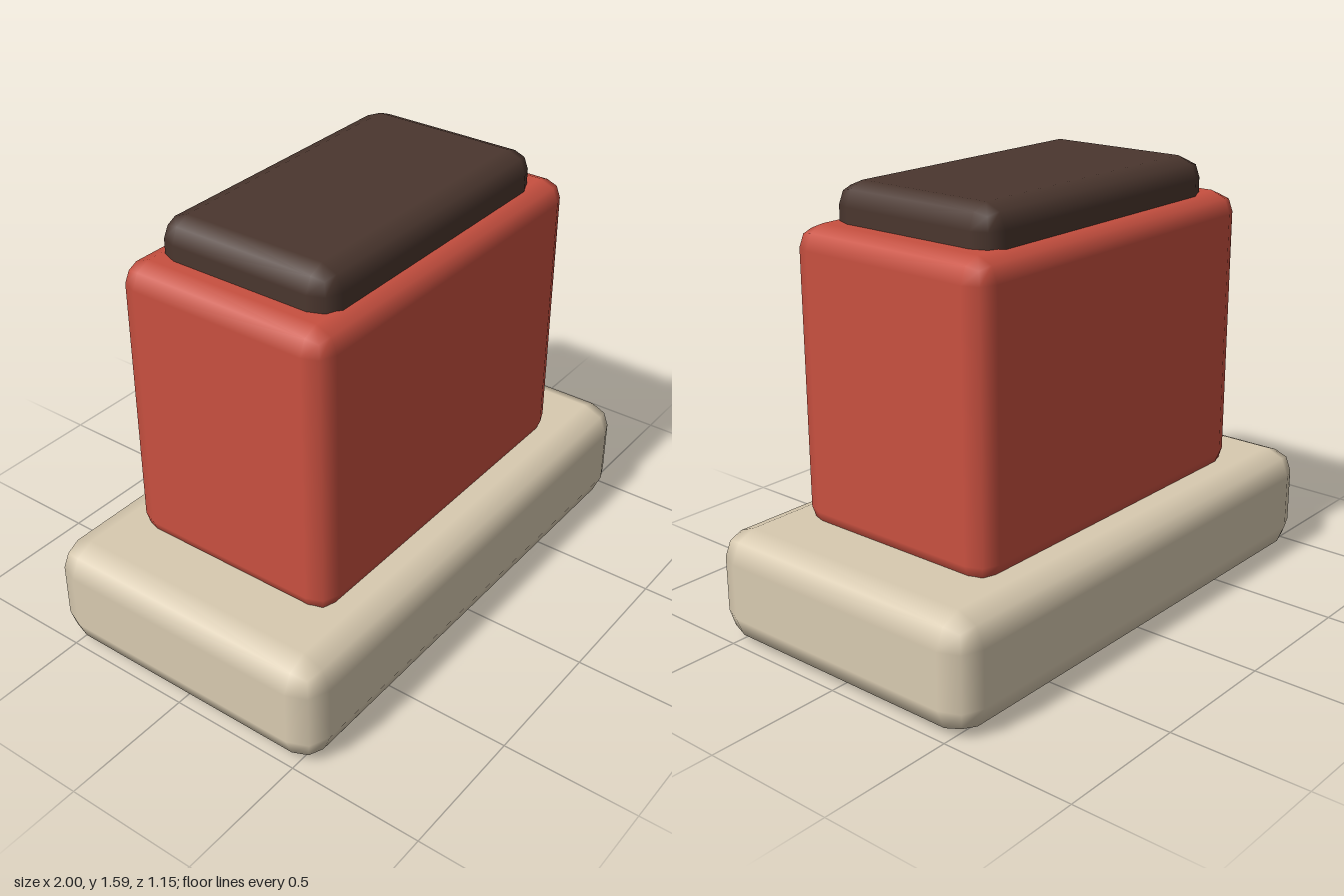
import * as THREE from 'three';

// Box with a two-step rounded bevel: each face grid has 3 cells per side,
// the outer lines lie on the 45 degree bevel, the inner lines bound the flat.
function bevelBox(w, h, d, r) {
  const g = new THREE.BoxGeometry(1, 1, 1, 3, 3, 3);
  const pos = g.attributes.position;
  const nor = g.attributes.normal;
  const half = new THREE.Vector3(w / 2 - r, h / 2 - r, d / 2 - r);
  const step = (v) => (Math.abs(v) > 0.4 ? Math.sign(v) : 0);
  const p = new THREE.Vector3();
  for (let i = 0; i < pos.count; i++) {
    p.fromBufferAttribute(pos, i);
    const n = new THREE.Vector3(step(p.x), step(p.y), step(p.z)).normalize();
    pos.setXYZ(
      i,
      Math.sign(p.x) * half.x + n.x * r,
      Math.sign(p.y) * half.y + n.y * r,
      Math.sign(p.z) * half.z + n.z * r
    );
    nor.setXYZ(i, n.x, n.y, n.z);
  }
  return g;
}

function flatColor(name, color) {
  const m = new THREE.MeshStandardMaterial({ color });
  m.name = name;
  return m;
}

export function createModel() {
  const group = new THREE.Group();
  group.name = 'blockOnPlinth';

  const addBlock = (name, w, d, bottom, top, r, material) => {
    const mesh = new THREE.Mesh(bevelBox(w, top - bottom, d, r), material);
    mesh.name = name;
    mesh.position.y = (bottom + top) / 2;
    group.add(mesh);
  };

  // Wide plinth, tall body sunk slightly into it, and a low cap on top
  addBlock('base', 2, 1.155, 0, 0.412, 0.104, flatColor('beige', 0xd8cab0));
  addBlock('body', 1.44, 0.84, 0.37, 1.455, 0.08, flatColor('red', 0xc85040));
  addBlock('cap', 1.2, 0.7, 1.36, 1.59, 0.08, flatColor('darkBrown', 0x4a362e));

  return group;
}
